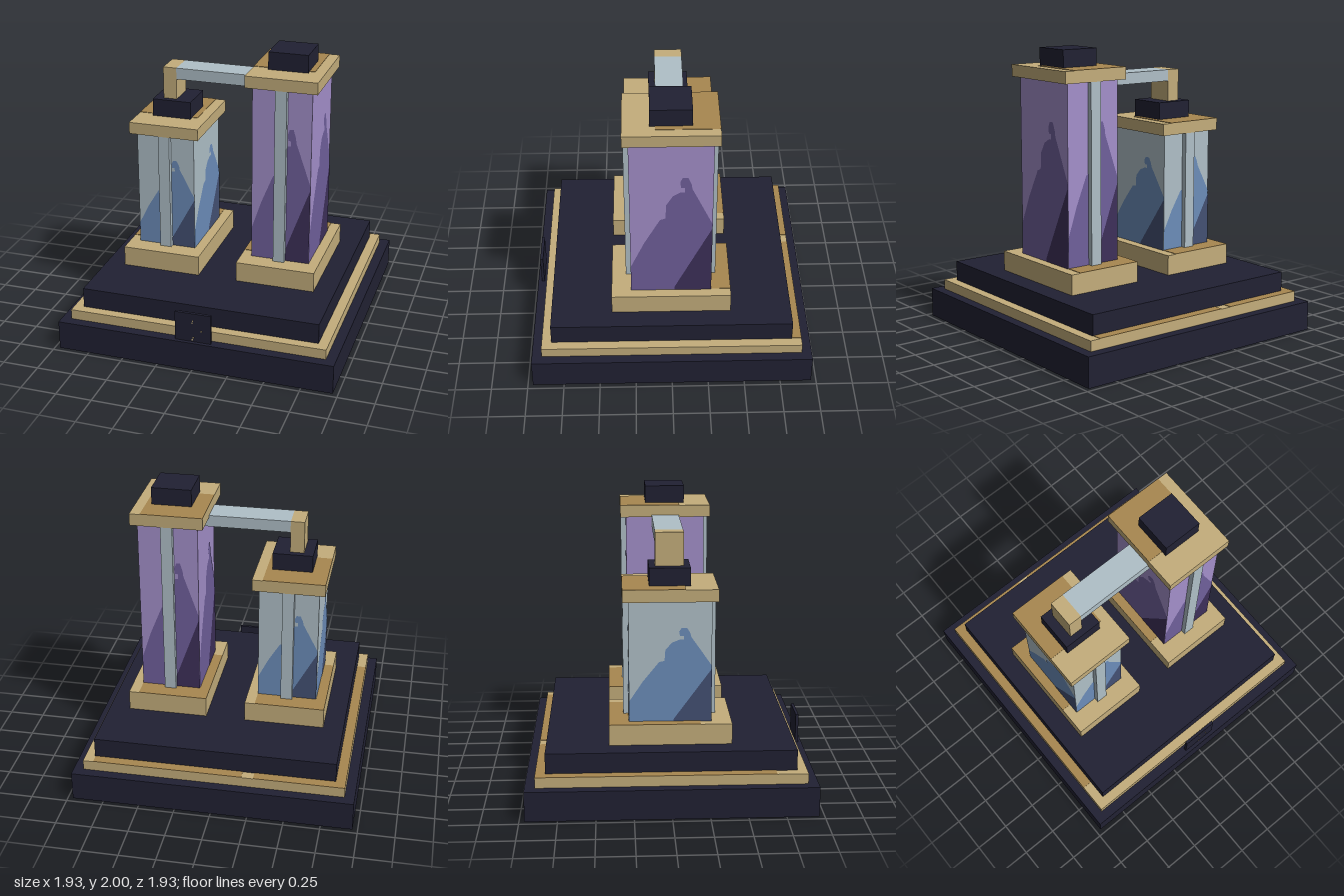
import * as THREE from 'three';

const mat = (name, color) => {
  const m = new THREE.MeshStandardMaterial({ color });
  m.name = name;
  return m;
};

// Painted silhouettes in panel coordinates (0..1 across, 0..1 up)
const FIGURE = [
  [0, 0], [1, 0], [1, 0.465], [0.85, 0.61], [0.75, 0.705], [0.74, 0.735], [0.7, 0.78], [0.635, 0.78],
  [0.605, 0.75], [0.615, 0.715], [0.66, 0.715], [0.66, 0.685], [0.615, 0.685], [0.52, 0.66],
  [0.44, 0.6], [0.43, 0.51], [0.365, 0.5], [0.17, 0.34], [0, 0.17],
];
const SHADE = [[0.54, 0], [1, 0], [1, 0.44], [0.54, 0.02]];

export function createModel() {
  const model = new THREE.Group();
  model.name = 'twinTowerMonument';

  const dark = mat('midnight', 0x212133);
  const gold = mat('gold', 0xc4ae7c);
  const bronze = mat('bronze', 0xa88850);
  const steel = mat('paleSteel', 0xb0c0c8);
  const blue = mat('blue', 0x6c8dba);
  const navy = mat('navy', 0x445174);
  const lilac = mat('lilac', 0xa490cb);
  const violet = mat('violet', 0x70609c);
  const plum = mat('plum', 0x3e305a);

  // Box from its extents
  function box(name, material, x0, x1, y0, y1, z0, z1, parent = model) {
    const mesh = new THREE.Mesh(new THREE.BoxGeometry(x1 - x0, y1 - y0, z1 - z0), material);
    mesh.position.set((x0 + x1) / 2, (y0 + y1) / 2, (z0 + z1) / 2);
    mesh.name = name;
    parent.add(mesh);
    return mesh;
  }

  // Thin painted patch lying on a top face
  const patch = (name, x0, x1, y, z0, z1, parent) =>
    box(name, bronze, x0, x1, y, y + 0.003, z0, z1, parent);

  // Flat silhouette on one panel of a tower
  function silhouette(name, points, material, w, h, offset, angle, parent) {
    const shape = new THREE.Shape(points.map(([u, v]) => new THREE.Vector2((u - 0.5) * w, v * h)));
    const geo = new THREE.ShapeGeometry(shape);
    geo.translate(0, 0, offset);
    geo.rotateY(angle);
    const mesh = new THREE.Mesh(geo, material);
    mesh.position.y = 0.555;
    mesh.name = name;
    parent.add(mesh);
  }

  // Stepped base
  box('base', dark, -0.965, 0.965, 0, 0.205, -0.965, 0.965);
  box('goldStep', gold, -0.897, 0.897, 0.205, 0.275, -0.897, 0.897);
  box('upperStep', dark, -0.83, 0.83, 0.275, 0.415, -0.83, 0.83);
  patch('stepPatchLeft', -0.897, -0.83, 0.275, -0.83, 0.69);
  patch('stepPatchBackA', -0.897, -0.28, 0.275, -0.897, -0.83);
  patch('stepPatchBackB', -0.2, 0.825, 0.275, -0.897, -0.83);

  // Front plaque with small gold flecks
  box('plaque', dark, -0.125, 0.125, 0.205, 0.415, 0.92, 0.94);
  for (const [x, y] of [[0, 0.36], [-0.003, 0.345], [0.003, 0.235], [-0.003, 0.22], [0.06, 0.29]]) {
    box('plaqueFleck', gold, x - 0.004, x + 0.004, y - 0.005, y + 0.005, 0.94, 0.942);
  }

  // Tower with painted panels, centred on its own axis
  function tower(name, x, top, bodyMat, figureMat, shadeMat) {
    const g = new THREE.Group();
    g.name = name;
    g.position.x = x;
    model.add(g);
    const h = top - 0.555, w = 0.41, d = 0.55;

    box('pedestal', gold, -0.276, 0.276, 0.415, 0.555, -0.41, 0.41, g);
    patch('pedestalPatch', -0.276, 0.205, 0.555, -0.41, 0.2, g);
    box('body', bodyMat, -w / 2, w / 2, 0.555, top, -d / 2, d / 2, g);

    for (let i = 0; i < 4; i++) {
      const side = i % 2 === 1;
      const width = side ? d : w, out = (side ? w : d) / 2, angle = i * Math.PI / 2;
      silhouette('panelFigure', FIGURE, figureMat, width, h, out + 0.002, angle, g);
      silhouette('panelShade', SHADE, shadeMat, width, h, out + 0.004, angle, g);
    }

    // Upright strips on front and back
    for (const s of [-1, 1]) {
      const strip = box('uprightStrip', steel, -0.04, 0.04, 0.555, top, 0.265, 0.312, g);
      strip.position.z *= s;
    }

    box('cap', gold, -0.247, 0.247, top, top + 0.082, -0.315, 0.315, g);
    patch('capPatch', -0.247, 0.175, top + 0.082, -0.315, 0.1, g);
    box('knob', dark, -0.137, 0.137, top + 0.082, top + 0.204, -0.137, 0.137, g);
  }
  tower('shortTower', -0.414, 1.382, steel, blue, navy);
  tower('tallTower', 0.411, 1.796, lilac, violet, plum);

  // Bridge between the towers
  box('bridgePost', gold, -0.485, -0.39, 1.586, 1.81, -0.095, 0.095);
  box('bridgeBeam', steel, -0.39, 0.206, 1.73, 1.81, -0.095, 0.095);

  return model;
}
